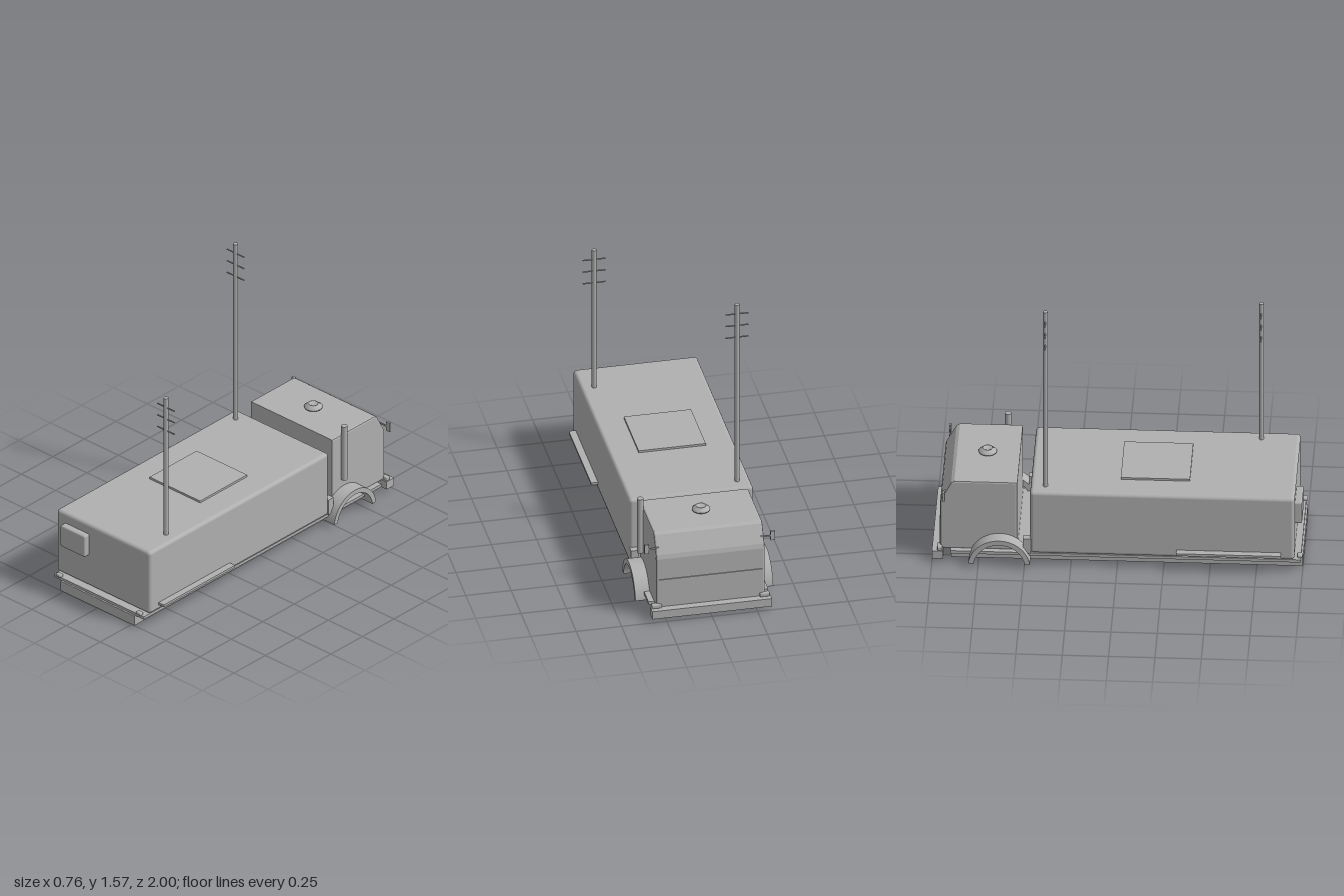
import * as THREE from 'three';
import { RoundedBoxGeometry } from 'three/addons/geometries/RoundedBoxGeometry.js';

export function createModel() {
  const model = new THREE.Group();
  model.name = 'radioTruck';
  const grey = new THREE.MeshStandardMaterial({ color: 0xb0b0b0 });
  grey.name = 'plain grey';

  const add = (name, geometry, x = 0, y = 0, z = 0, parent = model) => {
    const mesh = new THREE.Mesh(geometry, grey);
    mesh.name = name;
    mesh.position.set(x, y, z);
    parent.add(mesh);
    return mesh;
  };
  // box given by its limits on each axis; r rounds its edges
  const box = (name, [x0, x1], [y0, y1], [z0, z1], r = 0) => {
    const size = [x1 - x0, y1 - y0, z1 - z0];
    const geometry = r ? new RoundedBoxGeometry(...size, 3, r) : new THREE.BoxGeometry(...size);
    return add(name, geometry, (x0 + x1) / 2, (y0 + y1) / 2, (z0 + z1) / 2);
  };
  // side profile of [z, y] points, extruded across x and centred on x = 0
  const sideExtrude = (shape, width, bevel = 0) => {
    const g = new THREE.ExtrudeGeometry(shape, {
      depth: width - 2 * bevel, bevelEnabled: bevel > 0, bevelSize: bevel,
      bevelThickness: bevel, bevelOffset: -bevel, bevelSegments: 2, curveSegments: 24,
    });
    return g.translate(0, 0, -width / 2 + bevel).rotateY(-Math.PI / 2);
  };

  // chassis and floor
  box('chassis', [-0.27, 0.27], [0, 0.06], [-0.9, 1]);
  box('floorPlate', [-0.33, 0.33], [0.058, 0.075], [-0.9, 0.99]);
  box('bumper', [-0.33, 0.33], [0.022, 0.07], [-1, -0.94]);

  // cargo body
  box('cargoBody', [-0.342, 0.342], [0.078, 0.465], [-0.47, 0.957], 0.02);
  box('roofHatch', [-0.185, 0.185], [0.46, 0.477], [0.012, 0.385]);
  box('rearUnit', [-0.28, -0.1], [0.273, 0.405], [0.95, 0.995], 0.01);

  // cab with slanted windscreen
  const cab = new THREE.Shape([
    [-0.54, 0.07], [-0.54, 0.497], [-0.88, 0.497], [-0.898, 0.486],
    [-0.95, 0.39], [-0.957, 0.365], [-0.957, 0.07],
  ].map(([z, y]) => new THREE.Vector2(z, y)));
  add('cab', sideExtrude(cab, 0.6, 0.01));
  box('frontPanel', [-0.285, 0.285], [0.09, 0.24], [-0.962, -0.955]);

  // round roof vent
  const vent = [[0, 0], [0.032, 0], [0.032, 0.006], [0.048, 0.008], [0.05, 0.016],
    [0.036, 0.024], [0.03, 0.033], [0.024, 0.033], [0.022, 0.026], [0, 0.026]];
  add('roofVent', new THREE.LatheGeometry(vent.map(([r, y]) => new THREE.Vector2(r, y)), 24),
    0, 0.497, -0.715);

  // exhaust stack on the left of the cab
  add('exhaustStack', new THREE.CylinderGeometry(0.018, 0.018, 0.335, 16), 0.315, 0.392, -0.62);

  // paired parts
  const arch = new THREE.Shape();
  arch.absarc(0, 0, 0.168, 0.14, Math.PI - 0.14, false);
  arch.absarc(0, 0, 0.14, Math.PI - 0.14, 0.14, true);
  arch.closePath();
  for (const s of [1, -1]) {
    const side = s > 0 ? 'left' : 'right';
    const span = (a, b) => (s > 0 ? [a, b] : [-b, -a]);
    add(side + 'Fender', sideExtrude(arch, 0.08), s * 0.34, 0.006, -0.635);
    box(side + 'SideStrip', span(0.335, 0.38), [0.11, 0.124], [0.32, 0.885]);
    box(side + 'FrontStep', span(0.3, 0.34), [0.075, 0.168], [-0.508, -0.465]);
    box(side + 'Mirror', span(0.335, 0.36), [0.4, 0.455], [-0.942, -0.93]);
    box(side + 'MirrorArm', span(0.28, 0.34), [0.422, 0.43], [-0.938, -0.932]);
    box(side + 'HeadLamp', span(0.27, 0.325), [0.068, 0.092], [-0.972, -0.945], 0.006);
    box(side + 'TailLamp', span(0.275, 0.312), [0.072, 0.092], [0.97, 0.998], 0.008);
  }

  // antenna masts with three crossbars each
  const mast = (name, x, z, top) => {
    const group = new THREE.Group();
    group.name = name;
    group.position.set(x, 0, z);
    model.add(group);
    const base = 0.46;
    add('pole', new THREE.CylinderGeometry(0.0135, 0.0135, top - base, 10), 0, (top + base) / 2, 0, group);
    for (const drop of [0.06, 0.132, 0.205]) {
      const bar = new THREE.CylinderGeometry(0.004, 0.004, 0.125, 8).rotateZ(Math.PI / 2);
      add('crossbar', bar, 0, top - drop, 0, group);
    }
  };
  mast('tallMast', -0.27, -0.39, 1.567);
  mast('shortMast', 0.27, 0.748, 1.322);

  return model;
}
